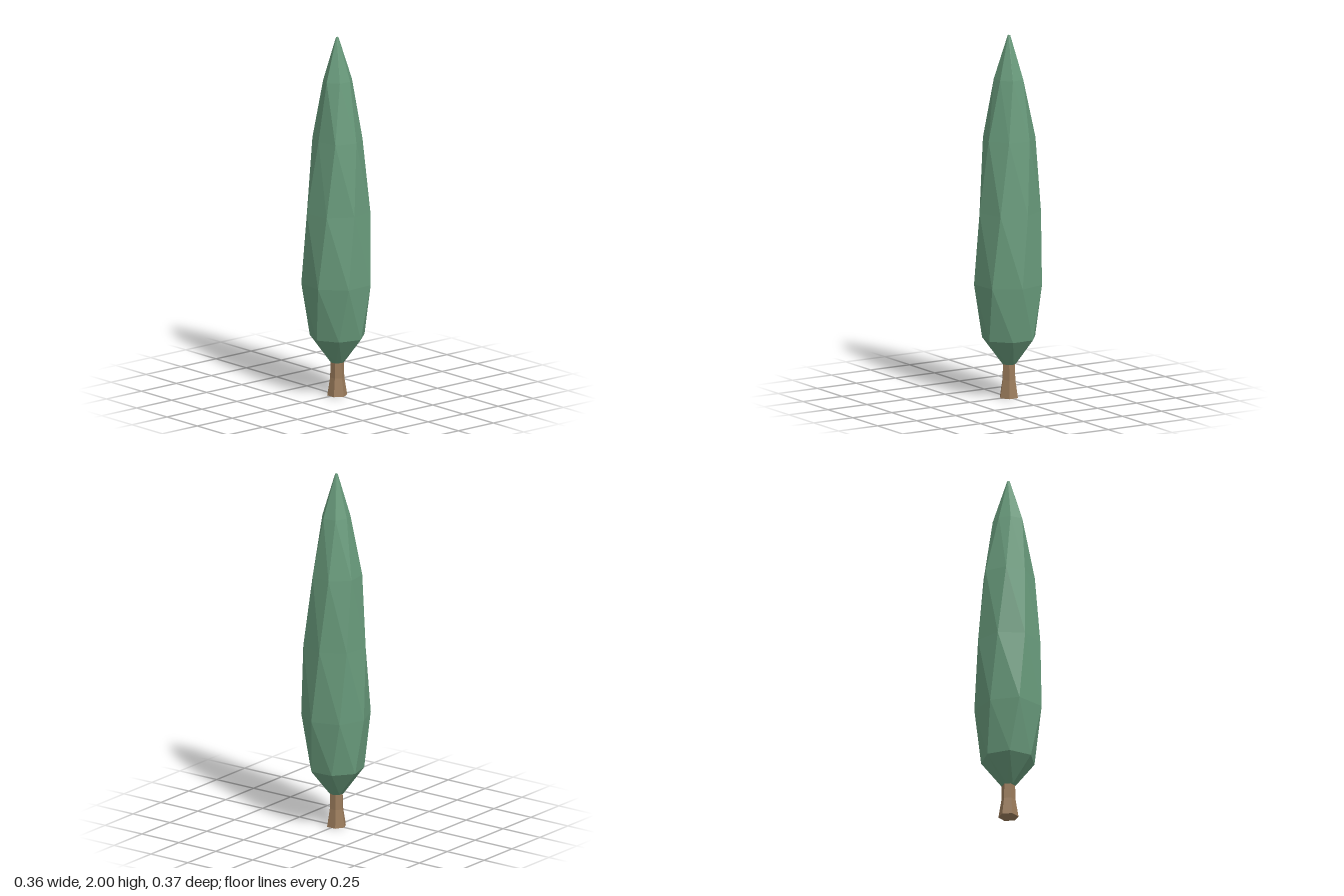
import * as THREE from 'three';

// Flat-shaded loft: each ring is { y, turn (degrees), radii }, listed bottom to top
function loft(rings) {
  const n = rings[0].radii.length;
  const positions = [];
  const index = [];
  for (const { y, turn, radii } of rings) {
    radii.forEach((r, i) => {
      const a = THREE.MathUtils.degToRad(turn) + (i / n) * Math.PI * 2;
      positions.push(r * Math.cos(a), y, r * Math.sin(a));
    });
  }
  for (let k = 0; k < rings.length - 1; k++) {
    for (let i = 0; i < n; i++) {
      const j = (i + 1) % n;
      const low = k * n, up = low + n;
      index.push(low + j, low + i, up + j, low + i, up + i, up + j);
    }
  }
  // End caps
  const top = (rings.length - 1) * n;
  for (let i = 1; i < n - 1; i++) {
    index.push(0, i, i + 1, top, top + i + 1, top + i);
  }
  const geometry = new THREE.BufferGeometry();
  geometry.setAttribute('position', new THREE.Float32BufferAttribute(positions, 3));
  geometry.setIndex(index);
  const flat = geometry.toNonIndexed();
  flat.computeVertexNormals();
  return flat;
}

const even = (n, r) => new Array(n).fill(r);

export function createModel() {
  const foliageGreen = new THREE.MeshStandardMaterial({ color: 0x689a7b, flatShading: true });
  foliageGreen.name = 'foliage green';
  const barkBrown = new THREE.MeshStandardMaterial({ color: 0x9a7b5b, flatShading: true });
  barkBrown.name = 'bark brown';

  const tree = new THREE.Group();
  tree.name = 'cypressTree';

  // Six-sided trunk flaring at the foot
  const trunk = new THREE.Mesh(loft([
    { y: 0, turn: 0, radii: even(6, 0.055) },
    { y: 0.1, turn: 0, radii: even(6, 0.039) },
    { y: 0.2, turn: 0, radii: even(6, 0.036) },
  ]), barkBrown);
  trunk.name = 'trunk';
  tree.add(trunk);

  // Seven-sided crown, twisting as it rises, with slightly uneven radii
  const foliage = new THREE.Mesh(loft([
    { y: 0.185, turn: 53, radii: even(7, 0.038) },
    { y: 0.33, turn: 37, radii: [0.146, 0.15, 0.15, 0.152, 0.15, 0.154, 0.155] },
    { y: 0.63, turn: 22, radii: [0.192, 0.192, 0.195, 0.178, 0.185, 0.188, 0.192] },
    { y: 1.03, turn: 8.5, radii: [0.174, 0.174, 0.174, 0.168, 0.173, 0.172, 0.18] },
    { y: 1.43, turn: -6.5, radii: [0.141, 0.144, 0.123, 0.14, 0.147, 0.142, 0.138] },
    { y: 1.76, turn: -20.5, radii: [0.079, 0.082, 0.086, 0.076, 0.076, 0.085, 0.086] },
    { y: 2.0, turn: -36, radii: even(7, 0.007) },
  ]), foliageGreen);
  foliage.name = 'foliage';
  tree.add(foliage);

  return tree;
}
